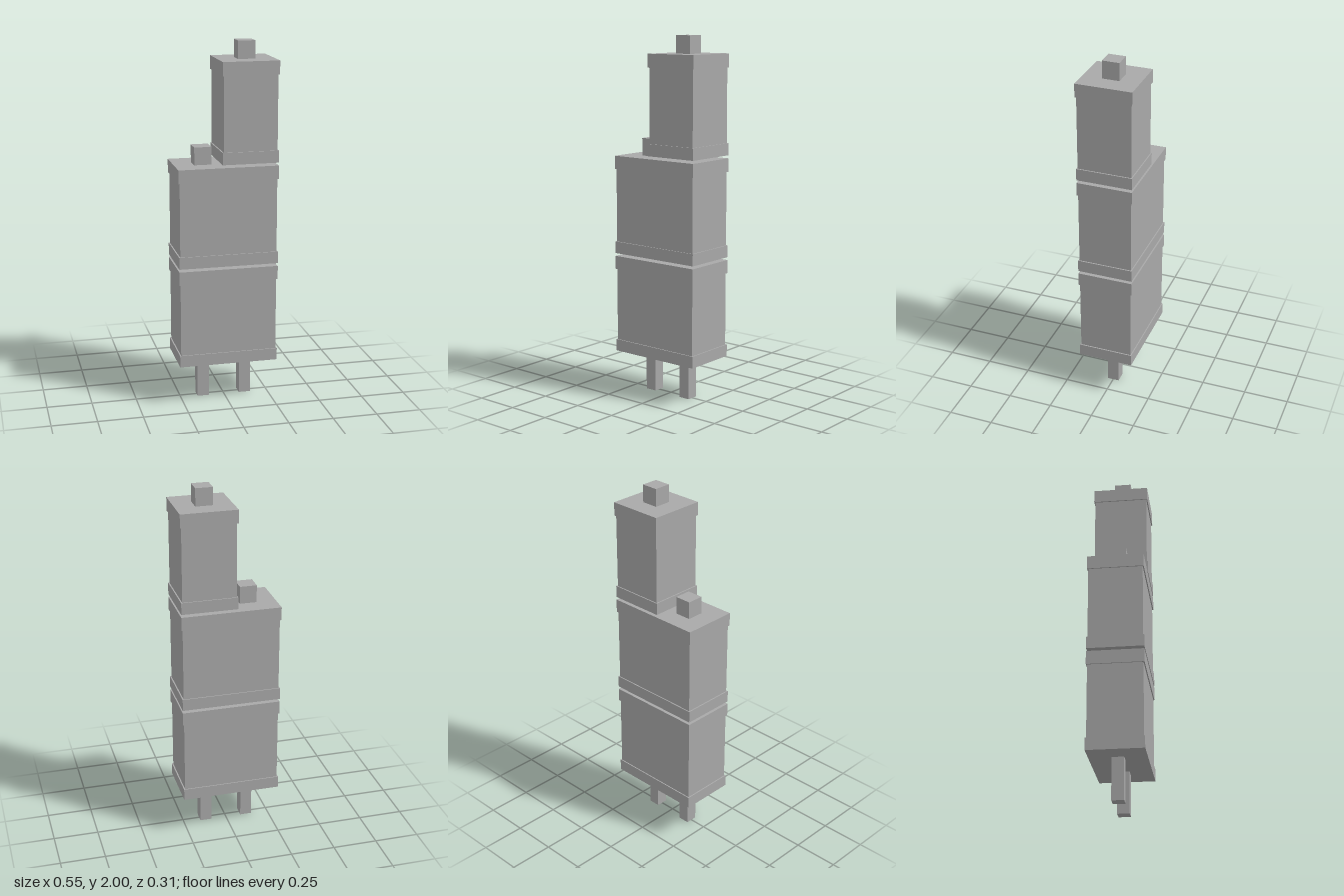
import * as THREE from 'three';

const STEP = 0.563;   // height from one block to the next
const BASE = 0.23;    // underside of the lowest block
const HEIGHT = 0.547; // height of one block
const STUD_X = 0.12;

export function createModel() {
  const model = new THREE.Group();
  const grey = new THREE.MeshStandardMaterial({ color: 0xa8a8a8 });

  // Square-edged box standing on y
  function box(parent, name, width, height, depth, x, y) {
    const mesh = new THREE.Mesh(new THREE.BoxGeometry(width, height, depth), grey);
    mesh.name = name;
    mesh.position.set(x, y + height / 2, 0);
    parent.add(mesh);
  }

  // Block with a projecting band at each end and studs on top
  function block(name, width, x, y, studs) {
    const group = new THREE.Group();
    group.name = name;
    box(group, 'body', width - 0.014, 0.407, 0.296, x, y + 0.066);
    box(group, 'lowerBand', width, 0.066, 0.308, x, y);
    box(group, 'upperBand', width, 0.074, 0.308, x, y + HEIGHT - 0.074);
    for (const sx of studs) box(group, 'stud', 0.094, 0.097, 0.094, sx, y + HEIGHT);
    model.add(group);
  }

  block('lowerBlock', 0.55, 0, BASE, [-STUD_X, STUD_X]);
  block('middleBlock', 0.55, 0, BASE + STEP, [-STUD_X, STUD_X]);
  block('upperBlock', 0.309, STUD_X, BASE + 2 * STEP, [STUD_X]);

  // Two prongs below
  for (const side of [-1, 1]) box(model, 'prong', 0.066, BASE, 0.066, side * STUD_X, 0);

  return model;
}
